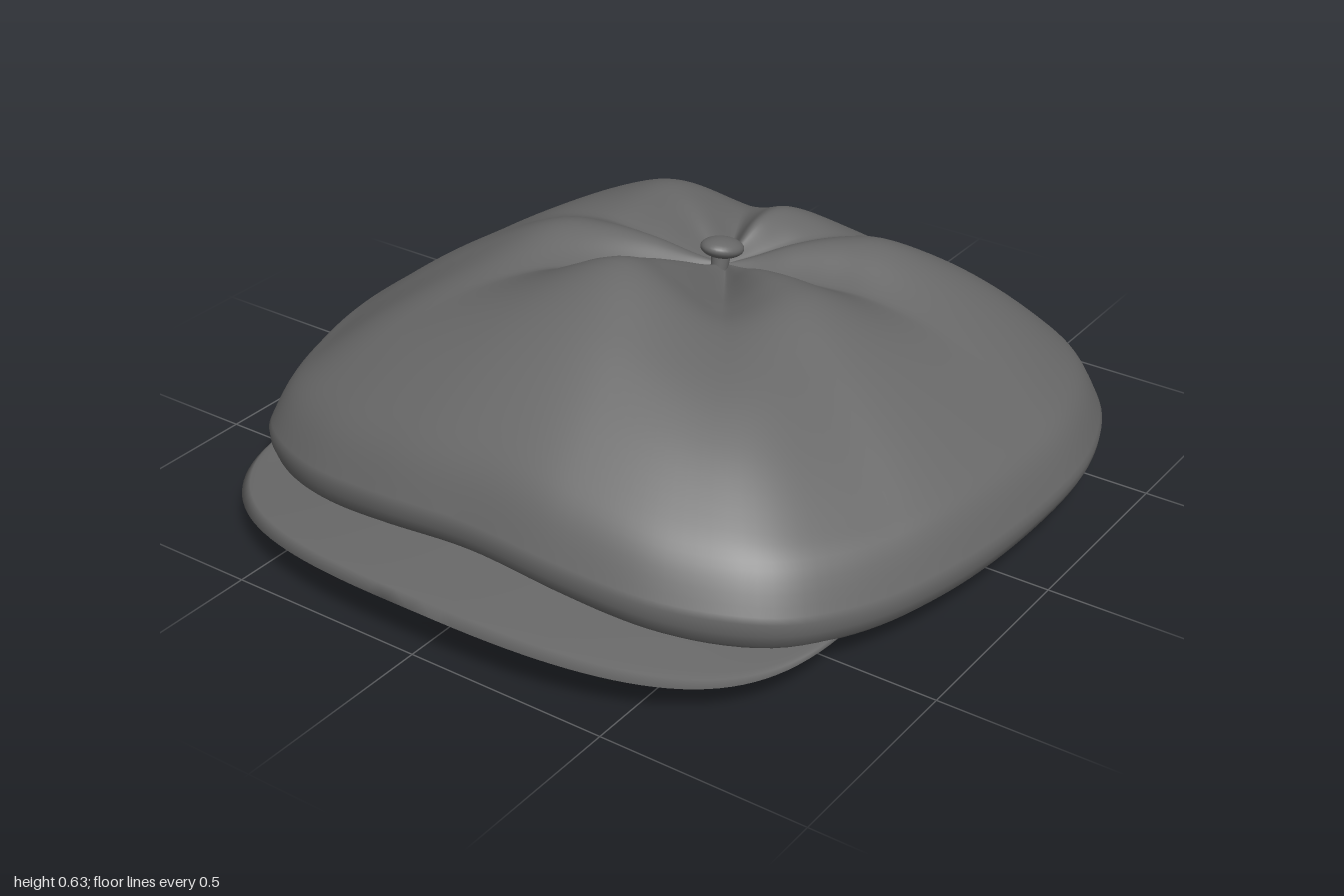
import * as THREE from 'three';

const CZ = -0.19; // z of the point where the panels meet

// Heights along seven rays from the centre, front (0 deg) round to back (180 deg)
const T = [0, 0.08, 0.18, 0.3, 0.43, 0.6, 0.75, 0.88, 0.95, 1];
const RAYS = [
  { a: 0, bottom: 0.15, h: [0.45, 0.48, 0.53, 0.585, 0.63, 0.58, 0.5, 0.405, 0.33, 0.23] },
  { a: 33, bottom: 0.09, h: [0.45, 0.452, 0.468, 0.498, 0.522, 0.5, 0.435, 0.345, 0.275, 0.18] },
  { a: 57, bottom: 0.06, h: [0.45, 0.475, 0.515, 0.543, 0.543, 0.47, 0.385, 0.295, 0.24, 0.14] },
  { a: 94, bottom: 0.06, h: [0.45, 0.448, 0.45, 0.456, 0.455, 0.42, 0.35, 0.27, 0.215, 0.12] },
  { a: 122, bottom: 0.05, h: [0.45, 0.47, 0.5, 0.515, 0.505, 0.435, 0.35, 0.255, 0.19, 0.1] },
  { a: 155, bottom: 0.015, h: [0.45, 0.45, 0.452, 0.452, 0.433, 0.367, 0.28, 0.19, 0.13, 0.075] },
  { a: 180, bottom: 0.0, h: [0.45, 0.48, 0.51, 0.505, 0.46, 0.37, 0.275, 0.17, 0.115, 0.06] },
];
const CREASE = [false, true, false, true, false, true, false];

// Indexed grid of points; the columns may close into a ring
function gridGeometry(rows, closed) {
  const n = rows[0].length, pos = [], index = [];
  for (const row of rows) for (const p of row) pos.push(...p);
  for (let i = 0; i < rows.length - 1; i++) {
    for (let j = 0; j < (closed ? n : n - 1); j++) {
      const k = (j + 1) % n;
      const a = i * n + j, b = (i + 1) * n + j, c = (i + 1) * n + k, d = i * n + k;
      index.push(a, b, c, a, c, d);
    }
  }
  const g = new THREE.BufferGeometry();
  g.setAttribute('position', new THREE.Float32BufferAttribute(pos, 3));
  g.setIndex(index);
  g.computeVertexNormals();
  return g;
}

// Blend between neighbouring rays: sharper at creases, round on the lobes
function rayBlend(deg) {
  let i = 0;
  while (i < RAYS.length - 2 && deg > RAYS[i + 1].a) i++;
  const f = THREE.MathUtils.clamp((deg - RAYS[i].a) / (RAYS[i + 1].a - RAYS[i].a), 0, 1);
  const smooth = f * f * (3 - 2 * f);
  const sharp = CREASE[i] ? Math.sin(f * Math.PI / 2) : 1 - Math.cos(f * Math.PI / 2);
  return { i, w: (smooth + sharp) / 2 };
}

function crownGeometry() {
  // Plan outline, front to back on the left, then mirrored
  const half = [[0, 0.825], [0.25, 0.825], [0.5, 0.785], [0.7, 0.68], [0.8, 0.53], [0.89, 0.25],
    [0.92, -0.1], [0.895, -0.4], [0.785, -0.67], [0.58, -0.86], [0.25, -0.97], [0, -1]];
  const mirrored = half.slice(1, -1).reverse().map(([x, z]) => [-x, z]);
  const outline = new THREE.CatmullRomCurve3(
    [...half, ...mirrored].map(([x, z]) => new THREE.Vector3(x, 0, z)), true);
  const ring = outline.getSpacedPoints(180).slice(0, 180);

  const steps = 45;
  const profiles = RAYS.map((r) =>
    new THREE.SplineCurve(r.h.map((h, k) => new THREE.Vector2(T[k], h))).getPoints(steps));
  const columns = ring.map((p) => {
    const deg = THREE.MathUtils.radToDeg(Math.atan2(Math.abs(p.x), p.z - CZ));
    const { i, w } = rayBlend(deg);
    const mix = (f) => THREE.MathUtils.lerp(f(i), f(i + 1), w);
    return {
      p,
      bottom: mix((r) => RAYS[r].bottom),
      heights: profiles[0].map((_, k) => mix((r) => profiles[r][k].y)),
    };
  });
  const place = (c, s, y) => [c.p.x * s, y, CZ + (c.p.z - CZ) * s];

  // One sheet of cloth: the top, then the rim rolled under into a narrow lip
  const rows = profiles[0].map((q, k) => columns.map((c) => place(c, q.x, c.heights[k])));
  for (const [s, f] of [[0.998, 0.35], [0.988, 0.7], [0.97, 0.92], [0.95, 1], [0.92, 1], [0.9, 0.97]]) {
    rows.push(columns.map((c) =>
      place(c, s, THREE.MathUtils.lerp(c.heights[steps], c.bottom, f))));
  }
  return gridGeometry(rows, true);
}

function visorGeometry() {
  // Crescent with a lens-shaped section: over the top, then back underneath
  const around = 64, across = 10, rows = [];
  for (let i = 0; i <= across * 2; i++) {
    const v = i <= across ? i / across : 2 - i / across;
    const thick = 0.014 * Math.sqrt(Math.max(0, 1 - v * v)) * (i <= across ? 1 : -1);
    const row = [];
    for (let j = 0; j <= around; j++) {
      const a = (j / around - 0.5) * Math.PI;
      const sx = Math.sign(a) * Math.pow(Math.abs(Math.sin(a)), 0.8);
      const c = Math.max(0, Math.cos(a));
      const x = sx * THREE.MathUtils.lerp(0.745, 0.775, v);
      const z = THREE.MathUtils.lerp(0.43 + 0.24 * c, 0.45 + 0.55 * Math.pow(c, 0.7), v);
      const y = 0.062 + (0.053 + 0.02 * (1 - v)) * (1 - sx * sx) + 0.02 * Math.pow(sx, 10) + thick;
      row.push([x, y, z]);
    }
    rows.push(row);
  }
  return gridGeometry(rows, false);
}

export function createModel() {
  const model = new THREE.Group();
  model.name = 'flatCap';
  const cloth = new THREE.MeshStandardMaterial({ color: 0x686868, side: THREE.DoubleSide });
  cloth.name = 'grey cloth';

  const add = (name, geometry, parent = model) => {
    const mesh = new THREE.Mesh(geometry, cloth);
    mesh.name = name;
    parent.add(mesh);
    return mesh;
  };

  add('crown', crownGeometry());
  add('visor', visorGeometry());

  // Covered button on a short stem, tilted a little backwards
  const button = new THREE.Group();
  button.name = 'button';
  button.position.set(0, 0.5, -0.175);
  button.rotation.x = -0.25;
  add('buttonCap', new THREE.SphereGeometry(1, 32, 16).scale(0.05, 0.025, 0.06), button);
  add('buttonStem', new THREE.CylinderGeometry(0.025, 0.02, 0.06, 20).translate(0, -0.03, 0), button);
  model.add(button);

  return model;
}
